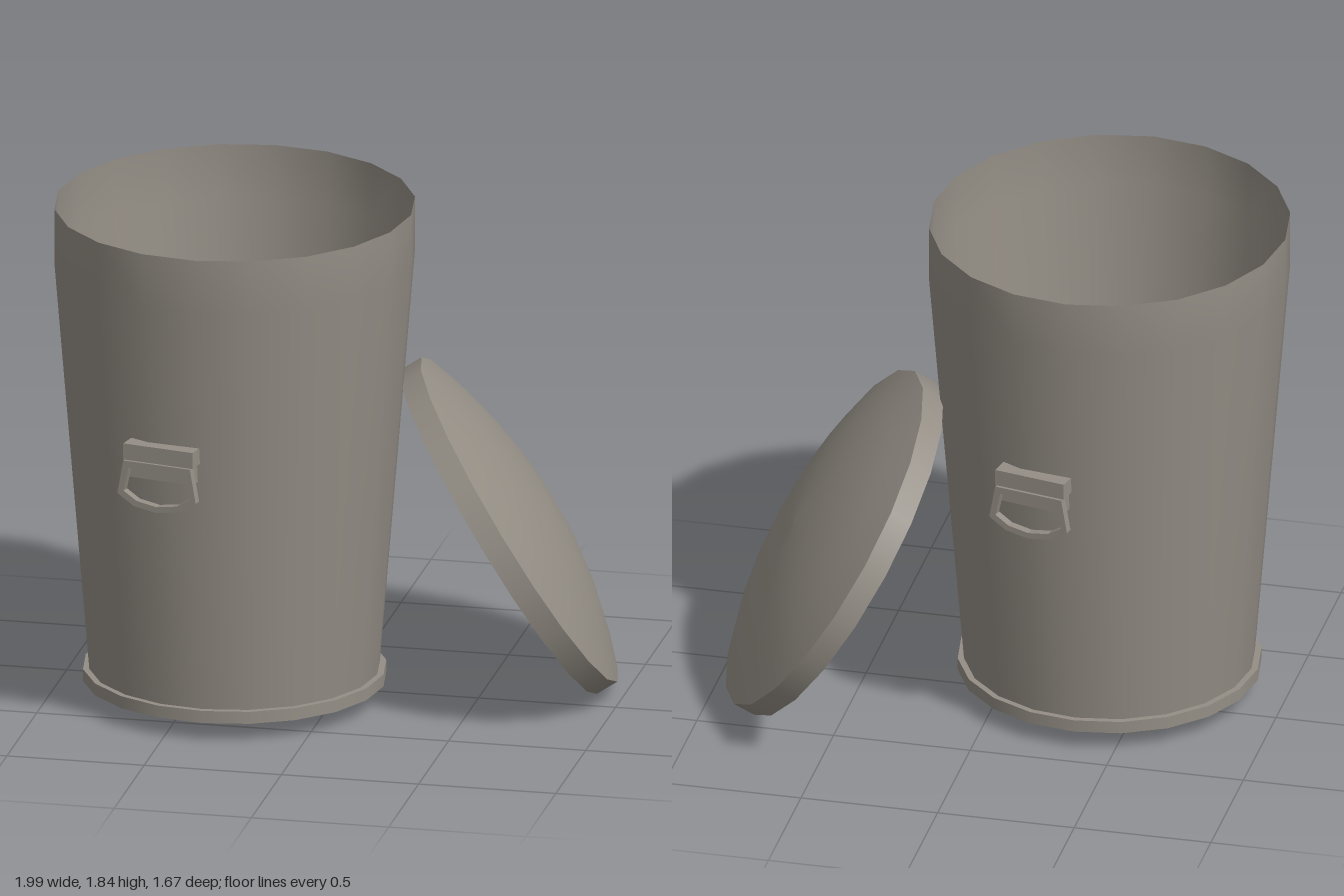
import * as THREE from 'three';

const SIDES = 20;
const metal = new THREE.MeshStandardMaterial({ color: 0x948e85, side: THREE.DoubleSide });
metal.name = 'dull grey metal';

const pts = (list) => list.map(([x, y]) => new THREE.Vector2(x, y));

function part(name, geometry, parent) {
  const mesh = new THREE.Mesh(geometry, metal);
  mesh.name = name;
  parent.add(mesh);
  return mesh;
}

// Tapered open wall with an upright rim, slightly narrowed in x towards the top
function wallGeometry() {
  const geo = new THREE.LatheGeometry(pts([[0.52, 0.12], [0.672, 1.65], [0.672, 1.85]]), SIDES);
  const p = geo.attributes.position;
  for (let i = 0; i < p.count; i++) {
    const t = Math.min(1, (p.getY(i) - 0.12) / 1.53);
    p.setX(i, p.getX(i) * (1 - 0.043 * t));
  }
  return geo;
}

// Bracket with a hanging pull ring; local +z points away from the can
function makeHandle(name) {
  const handle = new THREE.Group();
  handle.name = name;
  part('bracketPlate', new THREE.BoxGeometry(0.25, 0.125, 0.055), handle).position.set(0, 1.0625, 0.613);
  part('bracketHood', new THREE.BoxGeometry(0.27, 0.06, 0.076), handle).position.set(0, 1.1, 0.626);

  const outline = new THREE.Shape(pts([
    [-0.13, 1.07], [-0.153, 0.945], [-0.09, 0.905], [0, 0.89],
    [0.09, 0.905], [0.153, 0.945], [0.13, 1.07],
  ]));
  outline.holes.push(new THREE.Path(pts([
    [-0.11, 1.045], [0.11, 1.045], [0.129, 0.957], [0.078, 0.925],
    [0, 0.912], [-0.078, 0.925], [-0.129, 0.957],
  ])));
  const ring = new THREE.ExtrudeGeometry(outline, { depth: 0.03, bevelEnabled: false });
  part('pullRing', ring, handle).position.z = 0.645;
  return handle;
}

// Shallow domed lid with a short skirt, axis along local y
function makeLid() {
  const lid = new THREE.Group();
  lid.name = 'lid';
  const radius = 0.675, skirt = 0.085, rise = 0.13;
  part('lidSkirt', new THREE.LatheGeometry(
    pts([[radius, -skirt / 2], [radius, skirt / 2]]), SIDES), lid);

  const sphere = (radius * radius + rise * rise) / (2 * rise);
  const profile = [];
  for (let i = 0; i <= 5; i++) {
    const r = radius * (1 - i / 5);
    profile.push([r, skirt / 2 + rise - sphere + Math.sqrt(sphere * sphere - r * r)]);
  }
  part('lidDome', new THREE.LatheGeometry(pts(profile), SIDES), lid);
  return lid;
}

export function createModel() {
  const model = new THREE.Group();
  model.name = 'trashCan';

  // Can body
  const can = new THREE.Group();
  can.name = 'can';
  can.position.set(-0.357, 0, 0.143);
  model.add(can);
  part('wall', wallGeometry(), can);
  part('baseRing', new THREE.CylinderGeometry(0.5425, 0.5425, 0.045, SIDES), can).position.y = 0.0975;

  // Opposite handles
  ['frontHandle', 'backHandle'].forEach((name, i) => {
    const handle = makeHandle(name);
    handle.rotation.y = -0.21 + i * Math.PI;
    can.add(handle);
  });

  // Lid leaning on the can's left side
  const lid = makeLid();
  lid.position.set(0.575, 0.605, -0.17);
  lid.quaternion.setFromUnitVectors(
    new THREE.Vector3(0, 1, 0), new THREE.Vector3(0.82, 0.52, -0.22).normalize());
  model.add(lid);

  return model;
}
